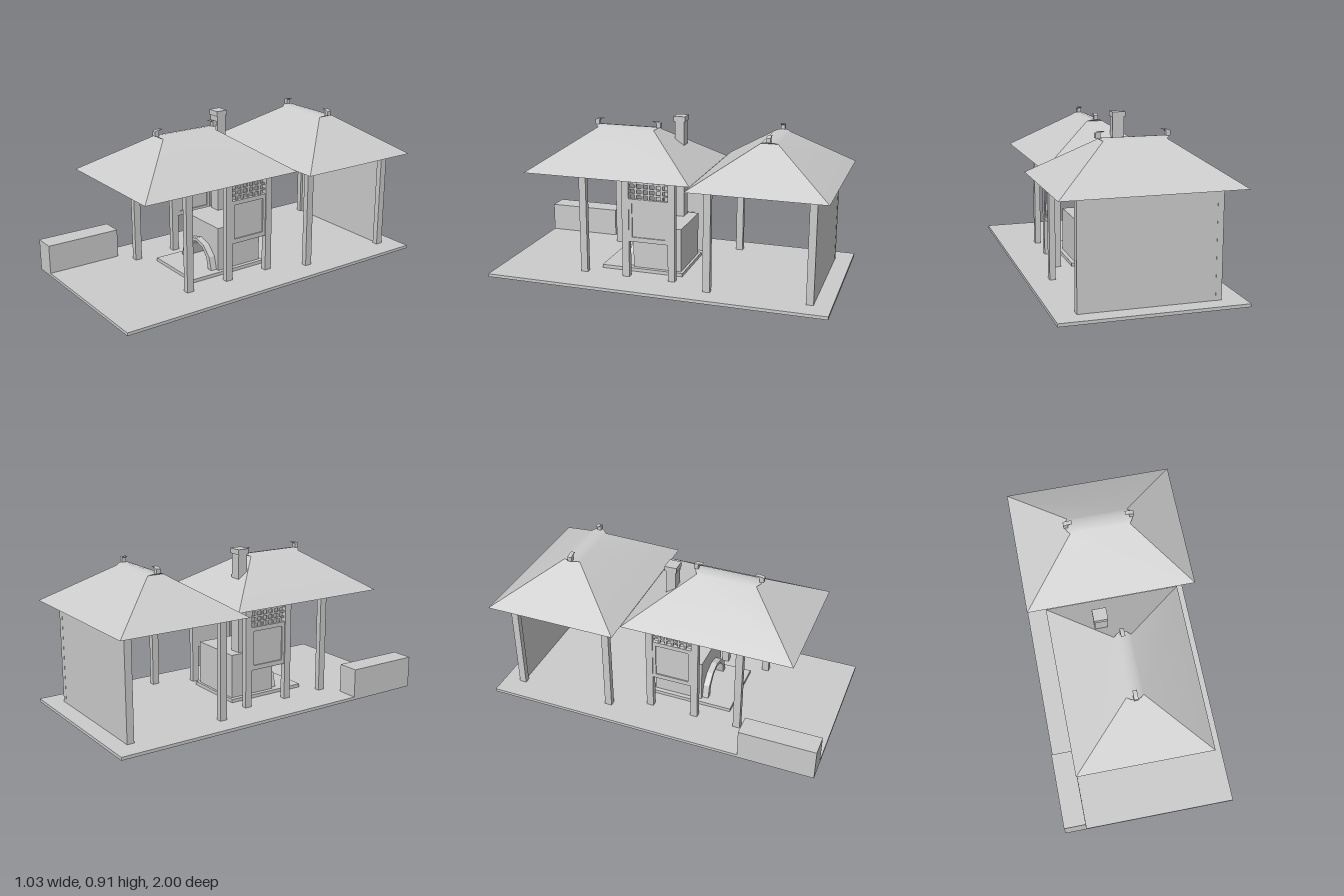
import * as THREE from 'three';
import { toCreasedNormals } from 'three/addons/utils/BufferGeometryUtils.js';

const material = new THREE.MeshStandardMaterial({ color: 0xcccccc });

function add(parent, name, geometry) {
  const mesh = new THREE.Mesh(geometry, material);
  mesh.name = name;
  parent.add(mesh);
  return mesh;
}

// Box given by its limits on each axis
function box(parent, name, x0, x1, y0, y1, z0, z1) {
  const mesh = add(parent, name, new THREE.BoxGeometry(x1 - x0, y1 - y0, z1 - z0));
  mesh.position.set((x0 + x1) / 2, (y0 + y1) / 2, (z0 + z1) / 2);
  return mesh;
}

function extrude(shape, depth) {
  return new THREE.ExtrudeGeometry(shape, { depth, bevelEnabled: false });
}

// Hipped roof with a rounded ridge along x that overhangs the hips
function roofGeometry() {
  const half = [[0.39, 0.617, 0.5], [0.048, 0.84, 0.175], [0.03, 0.847, 0.19]];
  const rows = [
    ...half.map(([z, y, x]) => [-z, y, x]),
    [0, 0.851, 0.206],
    ...half.slice().reverse(),
  ];
  const positions = [];
  const point = (i, s) => [s * rows[i][2], rows[i][1], rows[i][0]];
  const face = (points) => {
    for (let i = 1; i < points.length - 1; i++) {
      positions.push(...points[0], ...points[i], ...points[i + 1]);
    }
  };
  const last = rows.length - 1;
  for (let i = 0; i < last; i++) {
    face([point(i, -1), point(i + 1, -1), point(i + 1, 1), point(i, 1)]);
  }
  for (const s of [1, -1]) {
    const hip = [0, 1, last - 1, last].map((i) => point(i, s));
    const soffit = [1, 2, 3, 4, 5].map((i) => point(i, s));
    face(s > 0 ? hip : hip.reverse());
    face(s > 0 ? soffit : soffit.reverse());
  }
  face([point(0, -1), point(0, 1), point(last, 1), point(last, -1)]);
  const geometry = new THREE.BufferGeometry();
  geometry.setAttribute('position', new THREE.Float32BufferAttribute(positions, 3));
  return toCreasedNormals(geometry, 0.5);
}

// Ridge-end ornament with a horn curling inward
function finialGeometry() {
  const shape = new THREE.Shape();
  shape.moveTo(0.18, 0.843);
  shape.lineTo(0.206, 0.851);
  shape.lineTo(0.206, 0.877);
  shape.quadraticCurveTo(0.19, 0.888, 0.155, 0.885);
  shape.quadraticCurveTo(0.175, 0.882, 0.18, 0.875);
  return extrude(shape, 0.024).translate(0, 0, -0.012);
}

function roof(name) {
  const group = new THREE.Group();
  group.name = name;
  add(group, 'roofShell', roofGeometry());
  box(group, 'eaveBeam', -0.405, 0.405, 0.604, 0.617, -0.315, 0.315);
  for (const turn of [0, Math.PI]) add(group, 'ridgeFinial', finialGeometry()).rotation.y = turn;
  return group;
}

// Half-ellipse of six straight segments, as a list of points
function archPoints(rx, ry) {
  return Array.from({ length: 7 }, (_, i) => {
    const a = (i / 6) * Math.PI;
    return new THREE.Vector2(0.011 + rx * Math.cos(a), 0.04 + ry * Math.sin(a));
  });
}

function fireplace() {
  const group = new THREE.Group();
  group.name = 'fireplace';
  box(group, 'hearth', -0.186, 0.207, 0.018, 0.038, -0.1, 0.4);

  // Body: an outline notched by the arched opening, closed behind
  const opening = archPoints(0.121, 0.134);
  const body = new THREE.Shape([
    new THREE.Vector2(-0.16, 0.038), ...opening.slice().reverse(),
    new THREE.Vector2(0.183, 0.038), new THREE.Vector2(0.183, 0.298),
    new THREE.Vector2(-0.16, 0.298),
  ]);
  add(group, 'fireplaceBody', extrude(body, 0.21)).position.z = 0;
  box(group, 'fireplaceBack', -0.16, 0.183, 0.038, 0.298, -0.085, 0);

  // Raised trim around the opening
  const trim = new THREE.Shape([...archPoints(0.155, 0.153), ...opening.slice().reverse()]);
  add(group, 'archTrim', extrude(trim, 0.037)).position.z = 0.21;

  // Chimney through the roof
  box(group, 'chimney', -0.137, -0.067, 0.298, 0.885, -0.022, 0.036);
  box(group, 'chimneyCap', -0.142, -0.063, 0.88, 0.91, -0.028, 0.042);
  return group;
}

// Side screen: framed panel with a lattice above and an opening below
function screen(x) {
  const group = new THREE.Group();
  group.name = 'sideScreen';
  const z0 = -0.043, z1 = 0.193;
  const part = (name, t, y0, y1, a, b) => box(group, name, x - t, x + t, y0, y1, a, b);
  part('screenPanel', 0.005, 0.255, 0.48, z0, z1);
  part('screenRail', 0.012, 0.235, 0.262, z0, z1);
  part('screenRail', 0.012, 0.465, 0.49, z0, z1);
  part('screenStile', 0.012, 0.262, 0.465, z0, z0 + 0.018);
  part('screenStile', 0.012, 0.262, 0.465, z1 - 0.018, z1);
  for (let i = 1; i <= 5; i++) {
    const z = z0 + ((z1 - z0) * i) / 6;
    part('latticeUpright', 0.006, 0.49, 0.605, z - 0.006, z + 0.006);
  }
  for (const y of [0.518, 0.55, 0.582]) part('latticeBar', 0.006, y - 0.005, y + 0.005, z0, z1);
  return group;
}

export function createModel() {
  const model = new THREE.Group();
  model.name = 'gardenPavilions';

  box(model, 'base', -0.515, 0.515, 0, 0.018, -1, 1);
  box(model, 'bench', -0.515, -0.386, 0.018, 0.188, 0.555, 1);

  // Roofs: the front ridge runs front to back, the rear ridge side to side
  const frontRoof = roof('frontRoof');
  frontRoof.rotation.y = Math.PI / 2;
  frontRoof.position.z = 0.303;
  const rearRoof = roof('rearRoof');
  rearRoof.position.z = -0.588;
  model.add(frontRoof, rearRoof);

  // Posts and screens, mirrored left and right
  for (const s of [1, -1]) {
    for (const z of [0.478, 0.214, -0.064]) {
      box(model, 'frontPost', s * 0.284 - 0.017, s * 0.284 + 0.017, 0.018, 0.605, z - 0.021, z + 0.021);
    }
    for (const z of [-0.298, -0.88]) {
      box(model, 'rearPost', s * 0.374 - 0.017, s * 0.374 + 0.017, 0.018, 0.605, z - 0.021, z + 0.021);
    }
    model.add(screen(s * 0.284));
  }
  box(model, 'rearWall', -0.358, 0.358, 0.018, 0.605, -0.9, -0.875);

  model.add(fireplace());
  return model;
}
